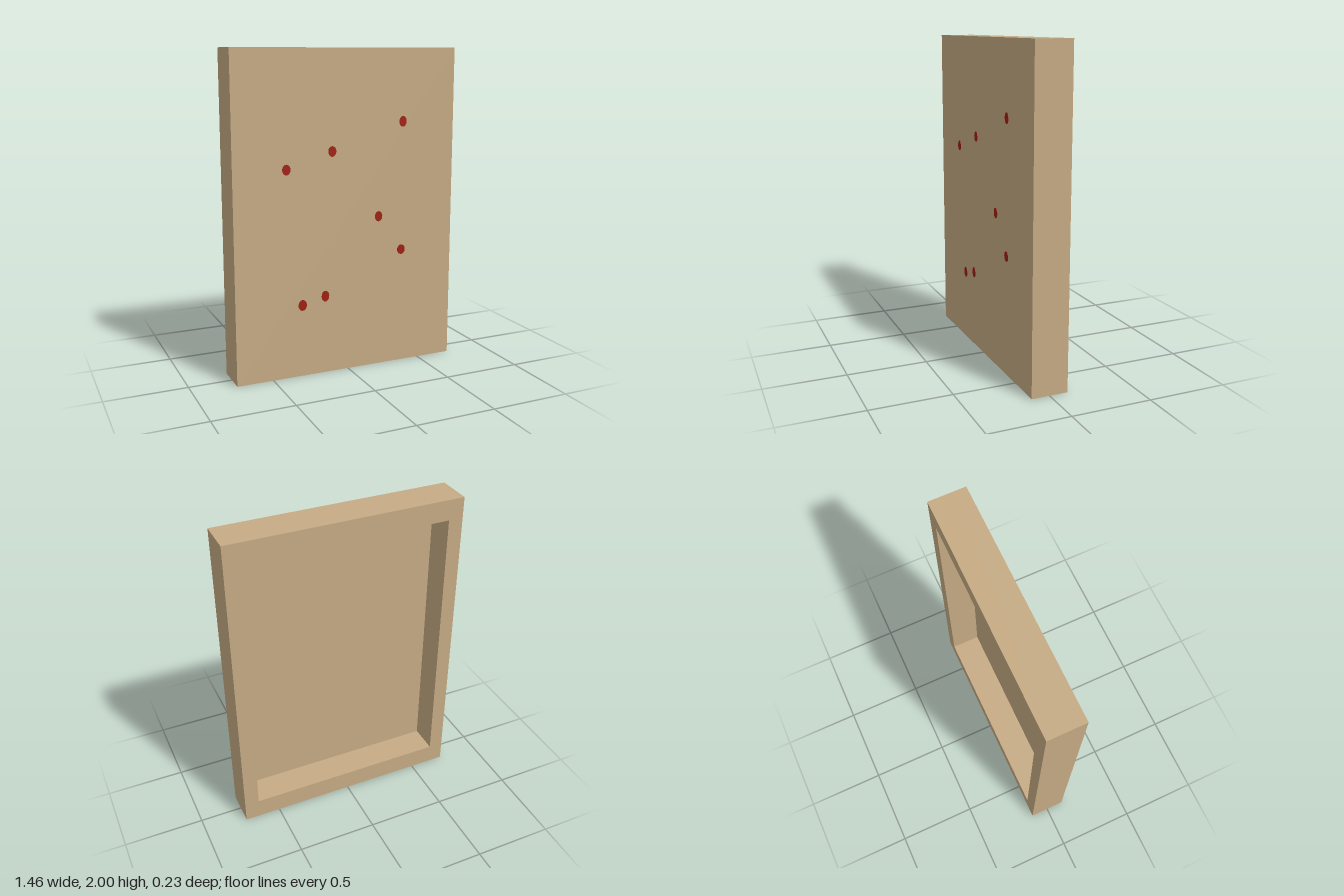
import * as THREE from 'three';

const WIDTH = 1.46, HEIGHT = 2, BACK = -0.115, FRONT = 0.113;
const PANEL = 0.04;                   // thickness of the front sheet
const RIM_X = 0.092, RIM_Y = 0.129;   // rim widths around the back recess

// Centre x, y and radii of each painted spot
const SPOTS = [
  [-0.40, 1.294, 0.026, 0.032], [-0.106, 1.389, 0.026, 0.032],
  [0.371, 1.553, 0.025, 0.033], [0.208, 0.968, 0.025, 0.032],
  [0.369, 0.741, 0.027, 0.031], [-0.305, 0.455, 0.027, 0.034],
  [-0.154, 0.495, 0.025, 0.034],
];

function rectangle(Type, w, h) {
  const r = new Type();
  r.moveTo(-w / 2, -h / 2);
  r.lineTo(w / 2, -h / 2);
  r.lineTo(w / 2, h / 2);
  r.lineTo(-w / 2, h / 2);
  r.closePath();
  return r;
}

export function createModel() {
  const board = new THREE.MeshStandardMaterial({ name: 'tan board', color: 0xc6ab84 });
  const red = new THREE.MeshStandardMaterial({ name: 'red spots', color: 0xa02010 });
  const group = new THREE.Group();
  group.name = 'spottedPanel';

  const add = (name, geometry, material, x, y, z) => {
    const mesh = new THREE.Mesh(geometry, material);
    mesh.name = name;
    mesh.position.set(x, y, z);
    group.add(mesh);
    return mesh;
  };

  // Flat front sheet
  add('frontPanel', new THREE.BoxGeometry(WIDTH, HEIGHT, PANEL), board, 0, HEIGHT / 2, FRONT - PANEL / 2);

  // Deep rim behind the sheet, open at the back
  const rim = rectangle(THREE.Shape, WIDTH, HEIGHT);
  rim.holes.push(rectangle(THREE.Path, WIDTH - 2 * RIM_X, HEIGHT - 2 * RIM_Y));
  const rimGeometry = new THREE.ExtrudeGeometry(rim, { depth: FRONT - PANEL - BACK, bevelEnabled: false });
  add('backFrame', rimGeometry, board, 0, HEIGHT / 2, BACK);

  // Thin oval spots on the front
  SPOTS.forEach(([x, y, rx, ry], i) => {
    const disc = new THREE.CylinderGeometry(1, 1, 0.004, 24).rotateX(Math.PI / 2);
    add(`spot${i + 1}`, disc, red, x, y, FRONT).scale.set(rx, ry, 1);
  });

  return group;
}
